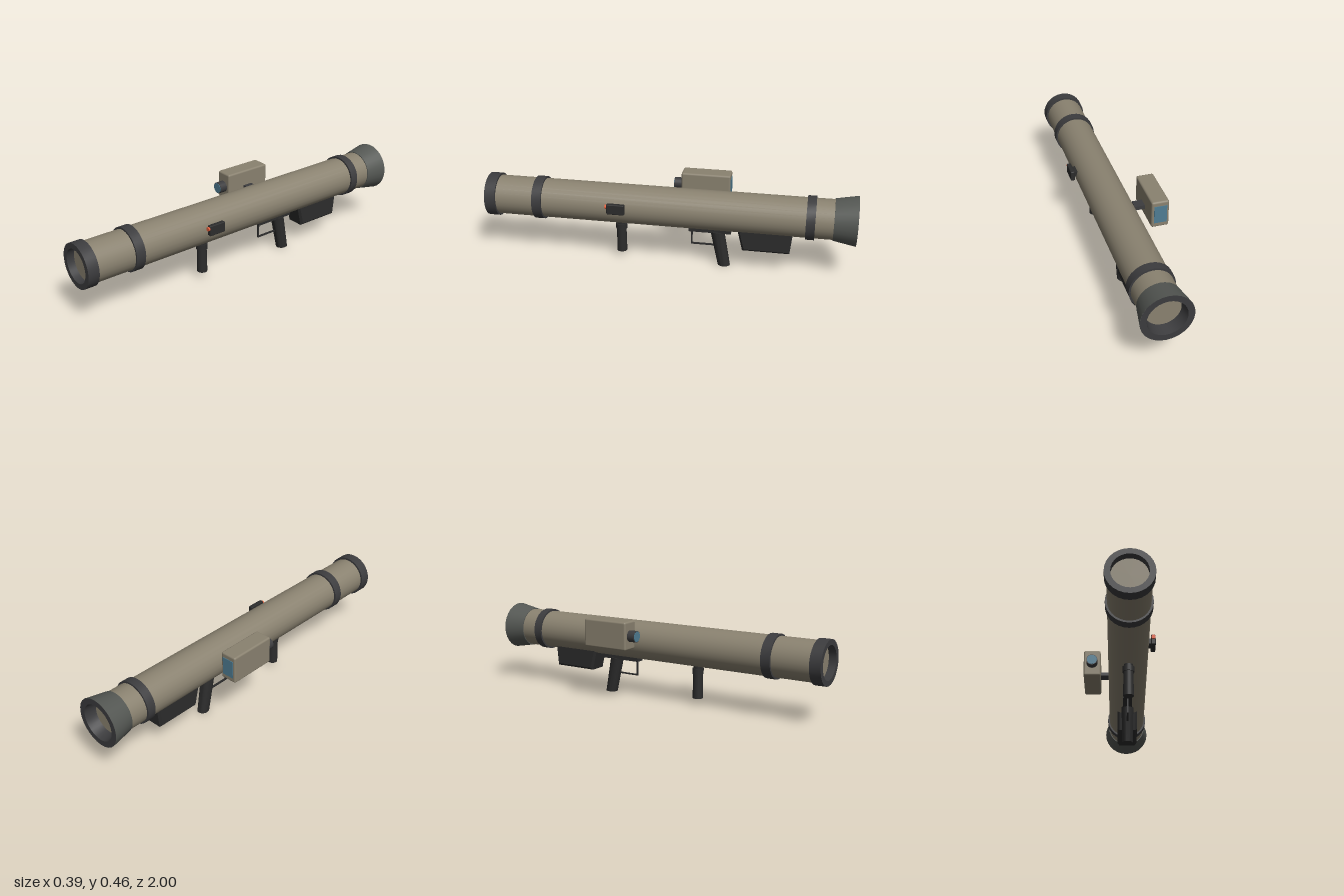
import * as THREE from 'three';
import { toCreasedNormals } from 'three/addons/utils/BufferGeometryUtils.js';
import { RoundedBoxGeometry } from 'three/addons/geometries/RoundedBoxGeometry.js';

const AX = 0.052, AY = 0.32; // tube axis
const SIDES = 28;
const mat = (color) => new THREE.MeshStandardMaterial({ color });

export function createModel() {
  const model = new THREE.Group();
  const tan = mat(0x8a8270), dark = mat(0x3c3c3e), black = mat(0x2c2c2c);
  const steel = mat(0x555854), glass = mat(0x4f7d93), red = mat(0xe8603c);

  const add = (name, geometry, material, x = 0, y = 0, z = 0) => {
    const mesh = new THREE.Mesh(geometry, material);
    mesh.name = name;
    mesh.position.set(x, y, z);
    model.add(mesh);
    return mesh;
  };
  const box = (name, m, x0, x1, y0, y1, z0, z1, r = 0) => {
    const s = [x1 - x0, y1 - y0, z1 - z0];
    const g = r ? new RoundedBoxGeometry(...s, 2, r) : new THREE.BoxGeometry(...s);
    return add(name, g, m, (x0 + x1) / 2, (y0 + y1) / 2, (z0 + z1) / 2);
  };
  const cylZ = (name, m, r, z0, z1, x, y, sides = 24) =>
    add(name, new THREE.CylinderGeometry(r, r, z1 - z0, sides).rotateX(Math.PI / 2), m, x, y, (z0 + z1) / 2);
  // Closed ring profile of [radius, z] turned about the tube axis
  const ring = (name, m, profile) => {
    const pts = [...profile, profile[0]].map(([r, z]) => new THREE.Vector2(r, z));
    const g = new THREE.LatheGeometry(pts, SIDES).rotateX(Math.PI / 2);
    return add(name, toCreasedNormals(g, 0.5), m, AX, AY, 0);
  };

  // Launch tube with its bands, muzzle ring and flared rear
  cylZ('tube', tan, 0.107, -0.94, 0.96, AX, AY, SIDES);
  ring('muzzleRing', dark, [[0.118, 0.94], [0.118, 1], [0.089, 1], [0.089, 0.94]]);
  for (const [name, z0, z1] of [['frontBand', 0.68, 0.732], ['rearBand', -0.785, -0.738]])
    ring(name, dark, [[0.117, z0], [0.117, z1], [0.1, z1], [0.1, z0]]);
  ring('rearFlare', steel, [[0.133, -1], [0.111, -0.88], [0.09, -0.88], [0.09, -0.94], [0.103, -1]]);
  ring('flareRim', dark, [[0.132, -1.0005], [0.132, -0.996], [0.102, -0.99], [0.09, -0.935], [0.088, -0.935], [0.1, -1.0005]]);

  // Sight box on its side bracket
  box('sightBody', tan, -0.195, -0.1, 0.302, 0.456, -0.315, -0.045, 0.01);
  box('sightBracket', dark, -0.102, -0.045, 0.348, 0.37, -0.205, -0.15);
  cylZ('sightLensBarrel', dark, 0.031, -0.05, -0.002, -0.148, 0.378);
  cylZ('sightLens', glass, 0.028, -0.01, 0, -0.148, 0.378);
  box('sightEyepiece', glass, -0.182, -0.113, 0.33, 0.43, -0.318, -0.31);

  // Switch on the left flank
  box('switchBox', black, 0.171, 0.195, 0.312, 0.369, 0.212, 0.308, 0.005);
  cylZ('switchButton', red, 0.011, 0.3, 0.317, 0.183, 0.352, 16);
  box('switchMount', black, 0.15, 0.175, 0.325, 0.355, 0.23, 0.29);

  // Front grip
  add('frontGrip', new THREE.CylinderGeometry(0.026, 0.028, 0.14, 20), black, AX, 0.107, 0.26);
  add('frontGripCollar', new THREE.CylinderGeometry(0.031, 0.031, 0.03, 20), black, AX, 0.187, 0.26);
  add('frontGripStem', new THREE.CylinderGeometry(0.024, 0.024, 0.04, 20), black, AX, 0.21, 0.26);

  // Trigger group
  box('triggerPlate', black, AX - 0.025, AX + 0.025, 0.195, 0.222, -0.345, -0.115);
  box('guardFront', black, AX - 0.005, AX + 0.005, 0.111, 0.2, -0.135, -0.128);
  box('guardBottom', black, AX - 0.005, AX + 0.005, 0.111, 0.118, -0.26, -0.128);

  // Rear grip: a round handle sheared backward toward its foot
  const grip = new THREE.CylinderGeometry(0.034, 0.03, 0.2, 24);
  const p = grip.attributes.position;
  for (let i = 0; i < p.count; i++) p.setZ(i, p.getZ(i) * 1.12 + p.getY(i) * 0.2);
  grip.computeVertexNormals();
  add('rearGrip', toCreasedNormals(grip, 0.6), black, AX, 0.1, -0.29);

  // Tapered bevelled housing under the tube
  const b = 0.012;
  const side = new THREE.Shape([
    [0.42, 0.13], [0.652, 0.13], [0.663, 0.24], [0.392, 0.24],
  ].map(([u, v]) => new THREE.Vector2(u, v)));
  const housing = new THREE.ExtrudeGeometry(side, {
    depth: 0.116 - 2 * b, bevelEnabled: true, bevelThickness: b, bevelSize: b, bevelSegments: 1,
  }).rotateY(Math.PI / 2);
  add('housing', housing, black, AX - 0.058 + b, 0, 0);

  return model;
}
